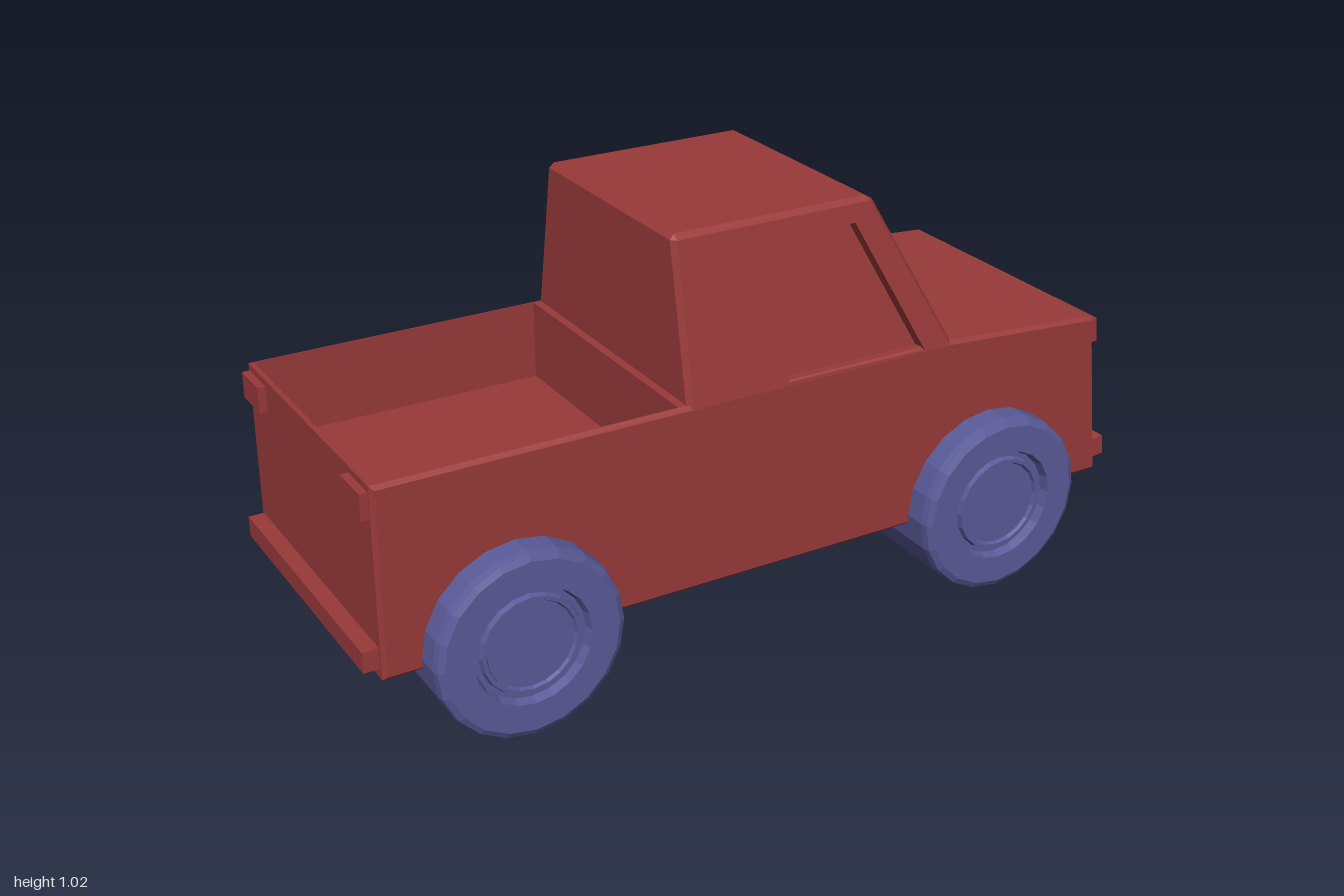
import * as THREE from 'three';

const V = (x, y, z) => new THREE.Vector3(x, y, z);
const paint = new THREE.MeshStandardMaterial({ color: 0x993a3a, flatShading: true });
const rubber = new THREE.MeshStandardMaterial({ color: 0x5a5a99, flatShading: true });

// Collects quads (corners counter-clockwise from outside) into a flat-shaded geometry
class Faces {
  constructor() { this.points = []; }
  tri(...p) { this.points.push(...p); }
  quad(a, b, c, d) { this.tri(a, b, c, a, c, d); }
  // Skins between two loops of equal length
  band(outer, inner) {
    outer.forEach((p, i) => {
      const j = (i + 1) % outer.length;
      this.quad(p, outer[j], inner[j], inner[i]);
    });
  }
  cap(loop) {
    for (let i = 1; i < loop.length - 1; i++) this.tri(loop[0], loop[i], loop[i + 1]);
  }
  build() {
    const g = new THREE.BufferGeometry().setFromPoints(this.points);
    g.computeVertexNormals();
    return g;
  }
}

function add(parent, name, geometry, material = paint) {
  const mesh = new THREE.Mesh(geometry, material);
  mesh.name = name;
  parent.add(mesh);
  return mesh;
}

// Side wall with a chamfered outer rim
function sideWall() {
  const outline = [[-0.962, 0.2], [0.962, 0.2], [0.915, 0.625], [0.485, 0.655], [-0.962, 0.655]];
  const ring = (z, inset) => outline.map(([x, y]) =>
    V(x * (1 - inset / 0.962), 0.4275 + (y - 0.4275) * (1 - inset / 0.2275), z));
  const f = new Faces();
  const rings = [ring(0.348, 0), ring(0.351, 0), ring(0.361, 0.009)];
  f.band(rings[0], rings[1]);
  f.band(rings[1], rings[2]);
  f.cap(rings[2]);
  f.cap([...rings[0]].reverse());
  return f.build();
}

// Middle of the body, with the open load bed cut into its profile
function bodyCore() {
  const shape = new THREE.Shape([
    [-0.962, 0.2], [0.962, 0.2], [0.915, 0.625], [0.485, 0.655], [-0.245, 0.655],
    [-0.245, 0.46], [-0.95, 0.46], [-0.95, 0.655], [-0.962, 0.655],
  ].map(p => new THREE.Vector2(...p)));
  return new THREE.ExtrudeGeometry(shape, { depth: 0.698, bevelEnabled: false })
    .translate(0, 0, -0.349);
}

// Tapered cab with chamfered edges and recessed windows
function cab() {
  const y0 = 0.645, y1 = 1.025, chamfer = 0.012, depth = 0.028;
  const corners = [
    V(-0.225, y0, 0.361), V(0.49, y0, 0.361), V(0.49, y0, -0.361), V(-0.225, y0, -0.361),
    V(-0.225, y1, 0.29), V(0.29, y1, 0.29), V(0.29, y1, -0.29), V(-0.225, y1, -0.29),
  ];
  const sides = [[0, 1, 5, 4], [1, 2, 6, 5], [2, 3, 7, 6], [3, 0, 4, 7], [4, 5, 6, 7]];
  const rise = y => (y - y0) / (y1 - y0);
  const sidePoint = s => ([x, y]) => V(x, y, s * (0.361 - 0.071 * rise(y)));
  const screenPoint = ([z, y]) => V(0.49 - 0.2 * rise(y), y, z);
  const win = [[0.035, 0.653], [0.405, 0.65], [0.24, 0.972], [-0.03, 0.972]];
  const holes = {
    0: win.map(sidePoint(1)),
    1: [[0.34, 0.67], [-0.34, 0.67], [-0.28, 0.975], [0.28, 0.975]].map(screenPoint),
    2: [win[1], win[0], win[3], win[2]].map(sidePoint(-1)),
  };
  // Corner c of a face, pulled in along both edges of that face
  const inset = (face, c) => {
    const p = corners[c].clone(), i = face.indexOf(c);
    for (const n of [face[(i + 1) % 4], face[(i + 3) % 4]]) {
      if (c < 4 && n >= 4) continue;
      p.addScaledVector(corners[n].clone().sub(corners[c]).normalize(), chamfer);
    }
    return p;
  };
  const f = new Faces();
  sides.forEach((face, k) => {
    const outer = face.map(c => inset(face, c));
    const hole = holes[k];
    if (hole) {
      const normal = outer[1].clone().sub(outer[0]).cross(outer[3].clone().sub(outer[0])).normalize();
      const pane = hole.map(p => p.clone().addScaledVector(normal, -depth));
      f.band(outer, hole);
      f.band(hole, pane);
      f.cap(pane);
    } else f.cap(outer);
    // Chamfer strips shared with later faces
    face.forEach((a, i) => {
      const b = face[(i + 1) % 4];
      const g = sides.findIndex((s, m) => m > k && s.includes(a) && s.includes(b));
      if (g > 0) f.quad(inset(face, b), inset(face, a), inset(sides[g], a), inset(sides[g], b));
    });
  });
  // Chamfered roof corners
  for (let i = 0; i < 4; i++) {
    f.tri(inset(sides[i], 4 + i), inset(sides[4], 4 + i), inset(sides[(i + 3) % 4], 4 + i));
  }
  return f.build();
}

// Tyre and hub turned in one profile, axis along z
function wheel() {
  const profile = [
    [0, 0.175], [0.21, 0.175], [0.221, 0.18], [0.225, 0.195], [0.225, 0.412], [0.221, 0.428],
    [0.207, 0.436], [0.14, 0.436], [0.133, 0.415], [0.121, 0.415], [0.117, 0.428],
    [0.108, 0.428], [0.104, 0.42], [0, 0.42],
  ].map(([r, z]) => new THREE.Vector2(r, z));
  return new THREE.LatheGeometry(profile, 20).rotateX(Math.PI / 2);
}

export function createModel() {
  const truck = new THREE.Group();
  truck.name = 'pickupTruck';

  add(truck, 'bodyAndBed', bodyCore());
  add(truck, 'leftSideWall', sideWall());
  add(truck, 'rightSideWall', sideWall().rotateY(Math.PI).scale(-1, 1, 1).index
    ?? mirrorZ(sideWall()));
  add(truck, 'cab', cab());

  // Bumpers; the front one leans with the nose
  add(truck, 'frontBumper', new THREE.BoxGeometry(0.05, 0.05, 0.69))
    .position.set(0.969, 0.252, 0);
  truck.getObjectByName('frontBumper').rotation.z = 0.115;
  add(truck, 'rearBumper', new THREE.BoxGeometry(0.05, 0.05, 0.69))
    .position.set(-0.975, 0.25, 0);

  for (const s of [1, -1]) {
    const lamp = add(truck, 'headlight', new THREE.BoxGeometry(0.035, 0.062, 0.102));
    lamp.position.set(0.922, 0.58, s * 0.295);
    lamp.rotation.z = 0.115;
    add(truck, 'tailLight', new THREE.BoxGeometry(0.035, 0.062, 0.102))
      .position.set(-0.963, 0.608, s * 0.295);
    for (const [name, x] of [['rearWheel', -0.65], ['frontWheel', 0.605]]) {
      const w = add(truck, name, wheel(), rubber);
      w.position.set(x, 0.227, 0);
      if (s < 0) w.rotation.y = Math.PI;
    }
  }
  return truck;
}

// Mirrors an unindexed geometry across z = 0, keeping faces outward
function mirrorZ(g) {
  const p = g.attributes.position, pts = [];
  for (let i = 0; i < p.count; i += 3) {
    for (const k of [i, i + 2, i + 1]) pts.push(V(p.getX(k), p.getY(k), -p.getZ(k)));
  }
  const m = new THREE.BufferGeometry().setFromPoints(pts);
  m.computeVertexNormals();
  return m;
}
